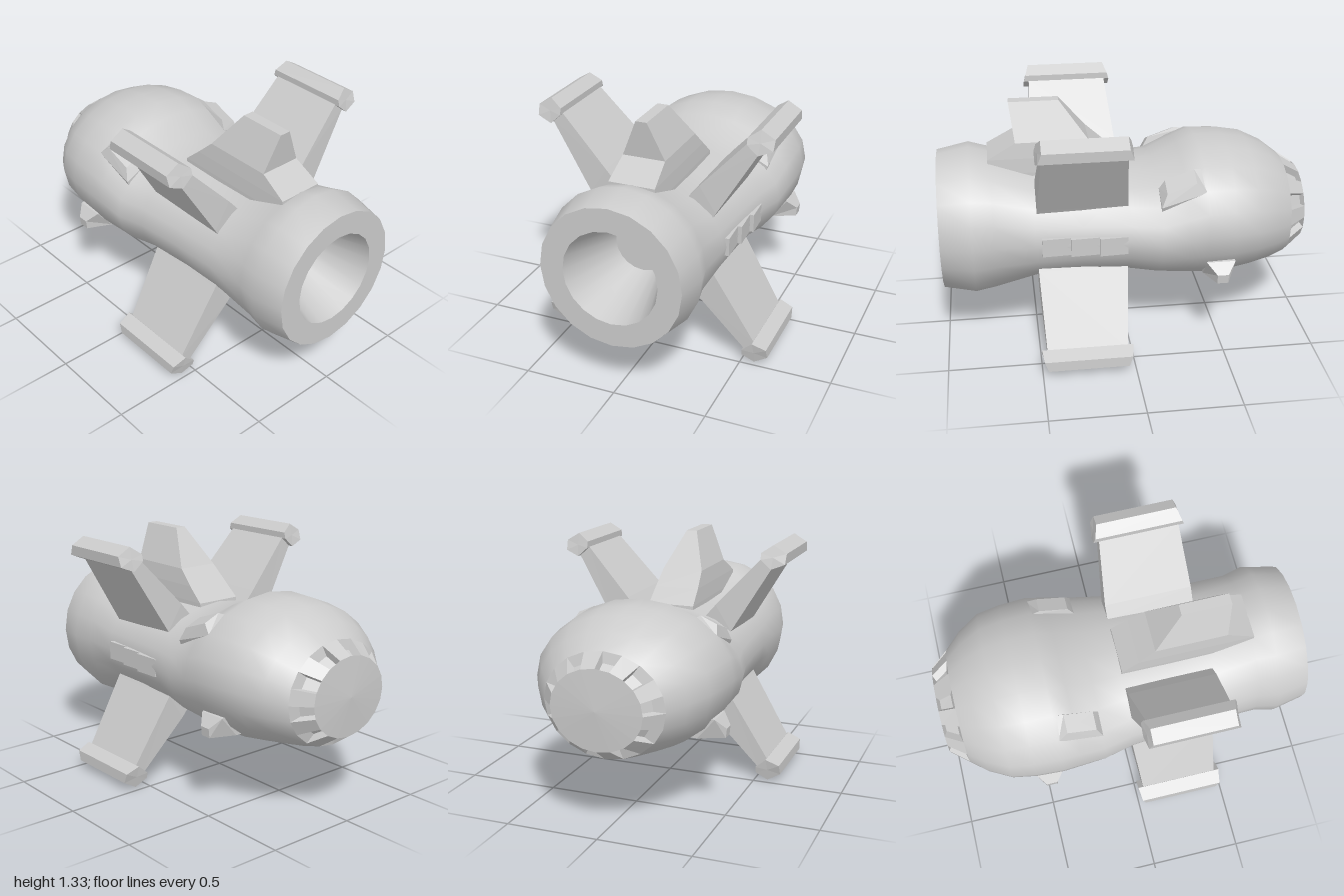
import * as THREE from 'three';

const AXIS_Y = 0.677, SIDES = 20;
const material = new THREE.MeshStandardMaterial({ color: 0xcccccc });
const flatMaterial = new THREE.MeshStandardMaterial({ color: 0xcccccc, flatShading: true });
const V = (x, y, z) => new THREE.Vector3(x, y, z);

// Elliptical ring around the long axis
function ellipse([x, cy, ry, rz]) {
  return Array.from({ length: SIDES }, (_, i) => {
    const a = (i / SIDES) * Math.PI * 2;
    return V(x, cy + ry * Math.sin(a), rz * Math.cos(a));
  });
}

// Ring collapsed to its middle, used to close an end
function collapsed(ring) {
  const c = V(0, 0, 0);
  ring.forEach((p) => c.add(p));
  c.divideScalar(ring.length);
  return ring.map(() => c.clone());
}

// Skin through rings of equal length
function skin(rings, smooth = false, flip = false) {
  const n = rings[0].length, index = [];
  for (let i = 0; i < rings.length - 1; i++) {
    for (let j = 0; j < n; j++) {
      const a = i * n + j, b = i * n + ((j + 1) % n), c = a + n, d = b + n;
      if (flip) index.push(a, b, c, b, d, c);
      else index.push(a, c, b, b, c, d);
    }
  }
  let g = new THREE.BufferGeometry().setFromPoints(rings.flat());
  g.setIndex(index);
  if (!smooth) g = g.toNonIndexed();
  g.computeVertexNormals();
  return g;
}

// Closed solid through rings, turned to face outward by its signed volume
function solid(rings) {
  const all = [collapsed(rings[0]), ...rings, collapsed(rings[rings.length - 1])];
  const pos = skin(all).attributes.position;
  const a = V(0, 0, 0), b = V(0, 0, 0), c = V(0, 0, 0);
  let volume = 0;
  for (let i = 0; i < pos.count; i += 3) {
    a.fromBufferAttribute(pos, i);
    b.fromBufferAttribute(pos, i + 1);
    c.fromBufferAttribute(pos, i + 2);
    volume += a.dot(b.cross(c));
  }
  return skin(all, false, volume < 0);
}

// Nose ring: alternate facets are sunken slots
function slottedRing(front, rear) {
  const points = [];
  const quad = (a, b, c, d) => points.push(a, b, c, a, c, d);
  for (let j = 0; j < SIDES; j++) {
    const k = (j + 1) % SIDES;
    const rim = [front[j], rear[j], rear[k], front[k]];
    if (j % 2) { quad(...rim); continue; }
    const mid = collapsed(rim)[0];
    const inward = V(0, AXIS_Y - mid.y, -mid.z).normalize().multiplyScalar(0.045);
    const floor = rim.map((p) => p.clone().lerp(mid, 0.3).add(inward));
    quad(...floor);
    for (let s = 0; s < 4; s++) {
      const t = (s + 1) % 4;
      quad(rim[s], rim[t], floor[t], floor[s]);
    }
  }
  const g = new THREE.BufferGeometry().setFromPoints(points);
  g.computeVertexNormals();
  return g;
}

export function createModel() {
  const model = new THREE.Group();
  const add = (name, geometry, mat = flatMaterial) => {
    const mesh = new THREE.Mesh(geometry, mat);
    mesh.name = name;
    model.add(mesh);
  };

  // Fuselage: bulbous front, waist, flared tail
  const rings = [
    [-0.89, 0.67, 0.275, 0.325], [-0.8, 0.695, 0.32, 0.405],
    [-0.68, 0.715, 0.357, 0.475], [-0.55, 0.715, 0.379, 0.497],
    [-0.4, 0.715, 0.385, 0.505], [-0.3, 0.698, 0.358, 0.495],
    [-0.16, 0.67, 0.313, 0.48], [0, 0.677, 0.297, 0.445],
    [0.25, 0.674, 0.296, 0.418], [0.5, 0.668, 0.31, 0.402],
    [0.72, 0.67, 0.39, 0.39], [0.83, 0.677, 0.415, 0.415],
    [1, 0.677, 0.38, 0.38],
  ].map(ellipse);
  add('fuselage', skin(rings, true), material);

  // Nose
  const noseRim = ellipse([-0.985, 0.672, 0.21, 0.245]);
  add('noseSlots', slottedRing(noseRim, rings[0]));
  add('noseDisc', skin([collapsed(noseRim).map((p) => p.setX(-1)), noseRim]));

  // Engine exhaust: flat rim, tapering bore and end disc
  const bore = ellipse([1, AXIS_Y, 0.255, 0.255]);
  const boreEnd = ellipse([0.62, AXIS_Y, 0.148, 0.148]);
  add('exhaustRim', skin([rings[rings.length - 1], bore]));
  add('exhaustBore', skin([bore, boreEnd], true), material);
  add('exhaustDisc', skin([boreEnd, collapsed(boreEnd)]));

  // Four wings in an X, each with a faceted tip
  for (const sy of [1, -1]) {
    for (const sz of [1, -1]) {
      const place = (x, y, z) => V(x, AXIS_Y + sy * (y - AXIS_Y), sz * z);
      const section = (x0, x1, [za, ya], [zb, yb]) =>
        [place(x0, ya, za), place(x1, ya, za), place(x1, yb, zb), place(x0, yb, zb)];
      add('wing', solid([
        section(0.01, 0.49, [0.31, 0.79], [0.2, 0.93]),
        section(0.01, 0.49, [0.35, 0.86], [0.26, 1.0]),
        section(0.04, 0.47, [0.575, 1.235], [0.515, 1.275]),
      ]));
      // z, y and end inset of each tip corner
      const corners = [
        [0.643, 1.3, 0.03], [0.57, 1.343, 0.03], [0.508, 1.3, 0.01],
        [0.508, 1.265, 0], [0.565, 1.215, 0], [0.64, 1.245, 0.01],
      ];
      add('wingTip', solid([0, 1].map((end) =>
        corners.map(([z, y, inset]) => place(end ? 0.5 - inset : 0.01 + inset, y, z)))));
    }
  }

  // Dorsal fin: y, front x, rear x, half width
  add('dorsalFin', solid([
    [0.86, 0, 0.73, 0.13], [0.98, 0.01, 0.73, 0.13], [1.06, 0.1, 0.73, 0.125],
    [1.145, 0.19, 0.58, 0.115], [1.345, 0.34, 0.605, 0.03],
  ].map(([y, x0, x1, w]) => [V(x0, y, -w), V(x1, y, -w), V(x1, y, w), V(x0, y, w)])));

  for (const s of [1, -1]) {
    // Raised scoops on the shoulders
    add('shoulderScoop', solid([
      [V(-0.4, 0.9, s * 0.27), V(-0.4, 0.84, s * 0.38), V(-0.16, 0.78, s * 0.38), V(-0.16, 0.82, s * 0.27)],
      [V(-0.4, 1.02, s * 0.29), V(-0.4, 0.935, s * 0.41), V(-0.16, 0.86, s * 0.41), V(-0.16, 0.92, s * 0.29)],
      [V(-0.345, 1.025, s * 0.3), V(-0.345, 0.985, s * 0.39), V(-0.19, 0.93, s * 0.39), V(-0.19, 0.97, s * 0.3)],
    ]));
    // Small wedges on the lower cheeks
    add('cheekWedge', solid([
      [V(-0.555, 0.55, s * 0.42), V(-0.4, 0.55, s * 0.42), V(-0.4, 0.43, s * 0.3), V(-0.555, 0.435, s * 0.3)],
      [V(-0.555, 0.545, s * 0.455), V(-0.4, 0.545, s * 0.455), V(-0.4, 0.43, s * 0.36), V(-0.555, 0.435, s * 0.36)],
      [V(-0.51, 0.49, s * 0.505), V(-0.45, 0.49, s * 0.505), V(-0.45, 0.44, s * 0.5), V(-0.51, 0.44, s * 0.5)],
    ]));
  }

  // Three shallow overlapping panels on the back flank
  for (let i = 0; i < 3; i++) {
    const x = 0.02 + i * 0.15, z = -0.442 + i * 0.014;
    const section = (px, pz) =>
      [V(px, 0.62, pz), V(px, 0.72, pz), V(px, 0.72, -0.36), V(px, 0.62, -0.36)];
    add('sidePanel', solid([section(x, z + 0.004), section(x + 0.15, z - 0.004)]));
  }
  return model;
}
